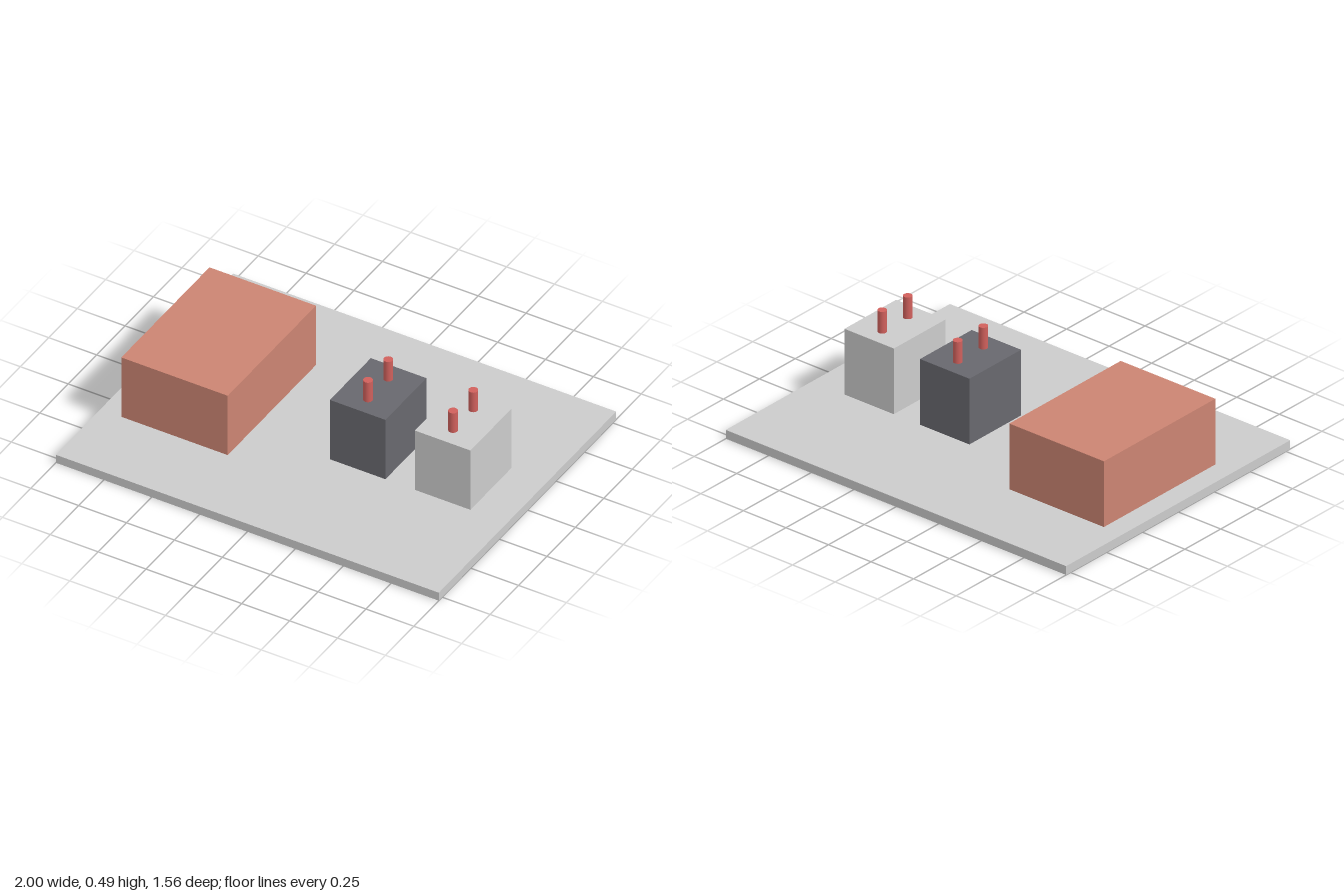
import * as THREE from 'three';

export function createModel() {
  const model = new THREE.Group();
  const grey = new THREE.MeshStandardMaterial({ color: 0xcccccc });
  const brick = new THREE.MeshStandardMaterial({ color: 0xcb8472 });
  const dark = new THREE.MeshStandardMaterial({ color: 0x68686e });
  const red = new THREE.MeshStandardMaterial({ color: 0xd0605c });

  const baseTop = 0.045, blockTop = 0.38, pegTop = 0.49;

  // Box standing on y = bottom, centred on z = 0
  function block(name, material, x, width, depth, bottom, top, parent = model) {
    const mesh = new THREE.Mesh(new THREE.BoxGeometry(width, top - bottom, depth), material);
    mesh.position.set(x, (bottom + top) / 2, 0);
    mesh.name = name;
    parent.add(mesh);
  }

  // Flat base and the large block on the right
  block('basePlate', grey, 0, 2, 1.56, 0, baseTop);
  block('largeBlock', brick, -0.613, 0.556, 0.776, baseTop, blockTop);

  // Two small blocks, each with a front and a back peg
  const pegGeometry = new THREE.CylinderGeometry(0.022, 0.022, pegTop - blockTop, 24);
  for (const [name, material, x] of [['darkTerminal', dark, 0.22], ['lightTerminal', grey, 0.664]]) {
    const terminal = new THREE.Group();
    terminal.name = name;
    block(name + 'Block', material, x, 0.29, 0.36, baseTop, blockTop, terminal);
    for (const side of [1, -1]) {
      const peg = new THREE.Mesh(pegGeometry, red);
      peg.position.set(x, (blockTop + pegTop) / 2, side * 0.089);
      peg.name = side > 0 ? 'frontPeg' : 'backPeg';
      terminal.add(peg);
    }
    model.add(terminal);
  }
  return model;
}
